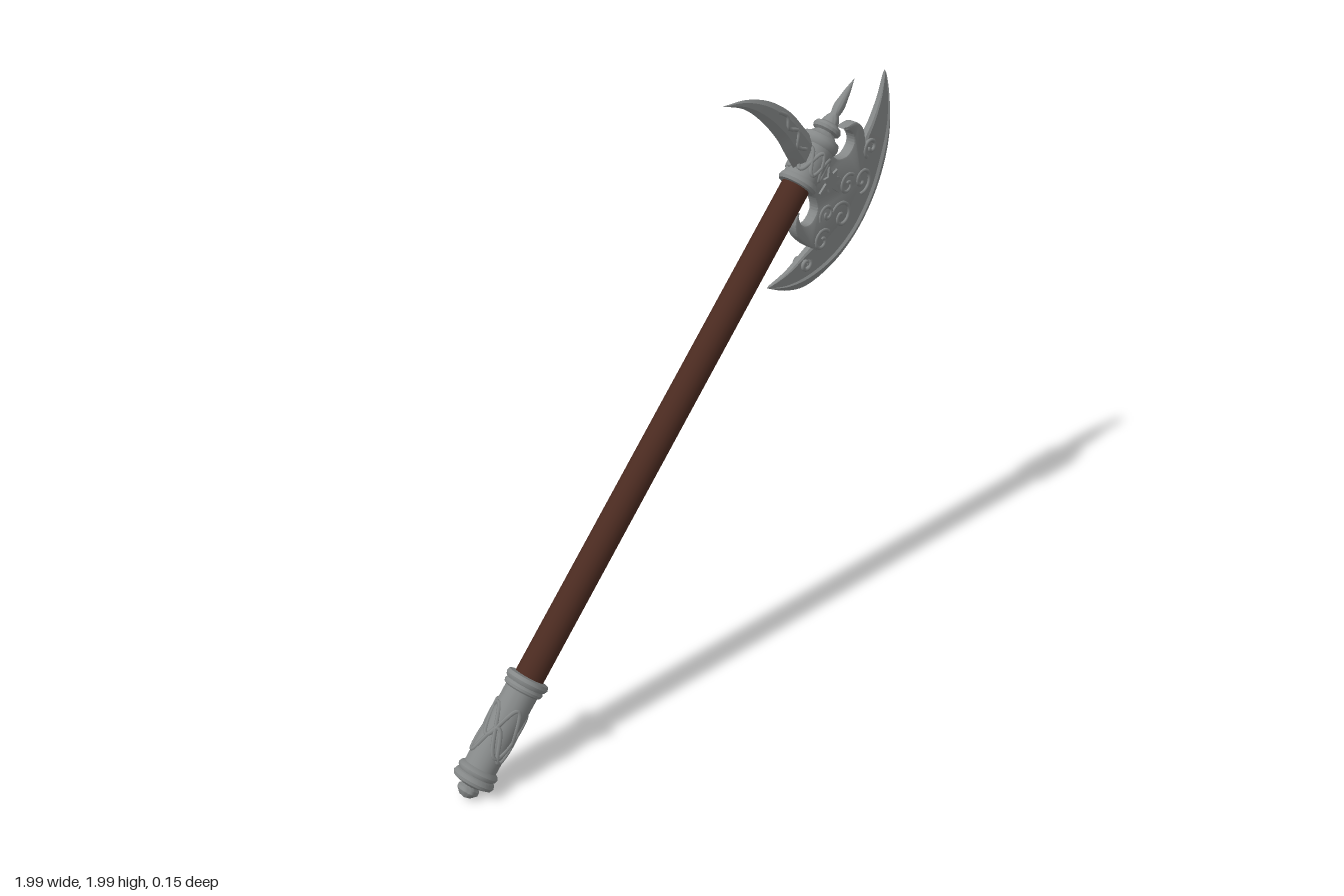
import * as THREE from 'three';
import { toCreasedNormals } from 'three/addons/utils/BufferGeometryUtils.js';

const steel = new THREE.MeshStandardMaterial({ color: 0x858888 });
steel.name = 'grey steel';
const wood = new THREE.MeshStandardMaterial({ color: 0x4a2a20 });
wood.name = 'dark brown wood';

const v2 = (pts) => pts.map(([x, y]) => new THREE.Vector2(x, y));

function add(parent, name, geometry, material = steel) {
  const mesh = new THREE.Mesh(geometry, material);
  mesh.name = name;
  parent.add(mesh);
  return mesh;
}

// Turned part along the handle axis; profile is [radius, distance]
function turned(profile, sides = 28) {
  return toCreasedNormals(new THREE.LatheGeometry(v2(profile), sides), 0.6);
}

// Solid between two edge curves; section is a closed ring of [position across, half thickness]
function blade(edgeA, edgeB, section, taper, n = 40) {
  const a = new THREE.SplineCurve(v2(edgeA)), b = new THREE.SplineCurve(v2(edgeB));
  const m = section.length, pos = [], idx = [];
  for (let i = 0; i <= n; i++) {
    const s = i / n, p = a.getPoint(s), q = b.getPoint(s), k = taper(s);
    for (const [w, z] of section) {
      pos.push(p.x + (q.x - p.x) * w, p.y + (q.y - p.y) * w, z * k);
    }
    if (i === n) break;
    for (let j = 0; j < m; j++) {
      const j2 = (j + 1) % m, r = i * m, t = r + m;
      idx.push(r + j, r + j2, t + j, t + j, r + j2, t + j2);
    }
  }
  const g = new THREE.BufferGeometry();
  g.setAttribute('position', new THREE.Float32BufferAttribute(pos, 3));
  g.setIndex(idx);
  return toCreasedNormals(g, 0.45);
}

function tube(points, radius, closed = false) {
  const curve = new THREE.CatmullRomCurve3(points, closed);
  return new THREE.TubeGeometry(curve, points.length * 3, radius, 6, closed);
}

// Raised wave wrapped around a cylinder
function wrappedWave(radius, mid, amp, waves, phase) {
  const pts = [];
  for (let i = 0; i < 36; i++) {
    const th = (i / 36) * Math.PI * 2;
    pts.push(new THREE.Vector3(radius * Math.cos(th), mid + amp * Math.sin(waves * th + phase), radius * Math.sin(th)));
  }
  return tube(pts, 0.007, true);
}

// Raised spiral scroll lying on a flat face
function scroll(x, y, z, size, start, turn) {
  const pts = [];
  for (let i = 0; i <= 16; i++) {
    const s = i / 16, th = start + turn * s * 7.5, r = size * (1 - 0.85 * s);
    pts.push(new THREE.Vector3(x + r * Math.cos(th), y + r * Math.sin(th), z));
  }
  return tube(pts, 0.007);
}

export function createModel() {
  const model = new THREE.Group();
  model.name = 'battleAxe';

  // Everything turned around the handle axis
  const handle = new THREE.Group();
  handle.name = 'handle';
  handle.position.set(-0.972, 0.033, 0);
  handle.rotation.z = -0.7487;
  model.add(handle);

  add(handle, 'shaft', new THREE.CylinderGeometry(0.048, 0.049, 1.9, 20, 1, true).translate(0, 1.3, 0), wood);

  add(handle, 'pommelGrip', turned([
    [0, -0.018], [0.02, -0.012], [0.036, 0.004], [0.036, 0.016], [0.028, 0.024],
    [0.05, 0.03], [0.066, 0.036], [0.071, 0.046], [0.066, 0.058], [0.06, 0.062],
    [0.066, 0.068], [0.068, 0.076], [0.064, 0.084], [0.055, 0.09], [0.056, 0.36],
    [0.064, 0.365], [0.067, 0.373], [0.063, 0.382], [0.068, 0.386], [0.073, 0.396],
    [0.069, 0.408], [0.046, 0.412]]));
  for (const [mid, amp, waves, phase] of [[0.18, 0.05, 3, 0], [0.25, 0.055, 3, 1.6], [0.22, 0.08, 2, 0.8]]) {
    add(handle, 'gripOrnament', wrappedWave(0.055, mid, amp, waves, phase));
  }

  add(handle, 'socketAndSpike', turned([
    [0.046, 2.192], [0.062, 2.194], [0.067, 2.204], [0.063, 2.216], [0.058, 2.222],
    [0.058, 2.335], [0.064, 2.342], [0.066, 2.356], [0.062, 2.37], [0.046, 2.378],
    [0.034, 2.392], [0.046, 2.398], [0.049, 2.408], [0.044, 2.418], [0.03, 2.425],
    [0.024, 2.445], [0.015, 2.46], [0.018, 2.478], [0.0185, 2.495], [0.01, 2.55], [0, 2.596]]));
  for (const phase of [0, Math.PI]) {
    add(handle, 'socketOrnament', wrappedWave(0.057, 2.278, 0.04, 4, phase));
  }

  // Crescent cutting edge, ground to a sharp rim
  const outer = [[0.95, 1.925], [0.98, 1.83], [0.997, 1.72], [0.98, 1.6], [0.928, 1.48], [0.842, 1.374],
    [0.73, 1.3], [0.596, 1.262], [0.489, 1.278], [0.393, 1.32]];
  const inner = [[0.95, 1.925], [0.928, 1.84], [0.89, 1.765], [0.845, 1.7], [0.81, 1.6], [0.75, 1.5],
    [0.67, 1.435], [0.591, 1.4], [0.49, 1.347], [0.393, 1.32]];
  const tipTaper = (s) => Math.pow(Math.sin(Math.PI * Math.min(1, Math.max(0, s))), 0.5);
  add(model, 'cuttingEdge', blade(outer, inner,
    [[0, 0], [0.28, 0.025], [0.34, 0.018], [0.94, 0.018], [1, 0.012],
      [1, -0.012], [0.94, -0.018], [0.34, -0.018], [0.28, -0.025]], tipTaper, 48));

  // Blade plate with a curled hook on each side of the neck
  const plate = new THREE.Shape();
  plate.moveTo(0.62, 1.74);
  plate.lineTo(0.655, 1.745);
  plate.splineThru(v2([[0.676, 1.712], [0.709, 1.685], [0.757, 1.685], [0.787, 1.718], [0.775, 1.757], [0.73, 1.782]]));
  plate.splineThru(v2([[0.789, 1.79], [0.832, 1.758], [0.85, 1.695]]));
  plate.lineTo(0.84, 1.57);
  plate.lineTo(0.76, 1.46);
  plate.lineTo(0.62, 1.385);
  plate.lineTo(0.591, 1.405);
  plate.splineThru(v2([[0.56, 1.427], [0.52, 1.466], [0.505, 1.51], [0.516, 1.555]]));
  plate.splineThru(v2([[0.537, 1.506], [0.58, 1.495], [0.612, 1.53], [0.602, 1.575], [0.57, 1.615]]));
  plate.lineTo(0.56, 1.67);
  add(model, 'bladePlate', toCreasedNormals(new THREE.ExtrudeGeometry(plate, {
    depth: 0.024, bevelEnabled: true, bevelThickness: 0.008, bevelSize: 0.006, bevelOffset: -0.006,
    bevelSegments: 2, curveSegments: 24,
  }).translate(0, 0, -0.012), 0.6));

  // Curved back fluke
  const flukeTop = [[0.174, 2], [0.275, 1.995], [0.382, 1.963], [0.479, 1.904], [0.543, 1.84], [0.62, 1.755]];
  const flukeLow = [[0.174, 2], [0.265, 1.968], [0.345, 1.909], [0.42, 1.83], [0.468, 1.76], [0.535, 1.665]];
  add(model, 'backFluke', blade(flukeTop, flukeLow,
    [[0, 0], [0.25, 0.026], [0.7, 0.03], [1, 0], [0.7, -0.03], [0.25, -0.026]], (s) => 0.08 + 0.95 * s, 30));

  // Jagged crest relief outline
  const crest = new THREE.Shape();
  for (let i = 0; i < 14; i++) {
    const th = (i / 14) * Math.PI * 2, r = i % 2 ? 0.026 : 0.05 + 0.014 * Math.sin(i * 1.7);
    crest[i ? 'lineTo' : 'moveTo'](0.668 + r * Math.cos(th), 1.62 + r * Math.sin(th));
  }
  crest.closePath();

  // Relief ornaments on both faces
  const scrolls = [[0.735, 1.475, 0.055, 2.6, -1], [0.835, 1.575, 0.05, 4.6, 1], [0.64, 1.415, 0.042, 0.6, 1],
    [0.875, 1.68, 0.036, 4.2, -1], [0.565, 1.355, 0.026, 0.5, -1], [0.76, 1.58, 0.04, 0.8, 1],
    [0.66, 1.505, 0.036, 3.6, -1]];
  for (const side of [1, -1]) {
    for (const [x, y, size, start, turn] of scrolls) {
      add(model, 'bladeScroll', scroll(x, y, side * 0.0185, size, start, turn));
    }
    const relief = new THREE.ExtrudeGeometry(crest, { depth: 0.009, bevelEnabled: false });
    add(model, 'bladeCrest', relief.translate(0, 0, side > 0 ? 0.019 : -0.028));
    const vine = [[0.41, 1.925], [0.45, 1.9], [0.455, 1.86], [0.5, 1.84], [0.495, 1.79], [0.535, 1.77]];
    add(model, 'flukeVine', tube(vine.map(([x, y], i) => new THREE.Vector3(x, y, side * (0.015 + i * 0.002))), 0.007));
  }
  return model;
}
